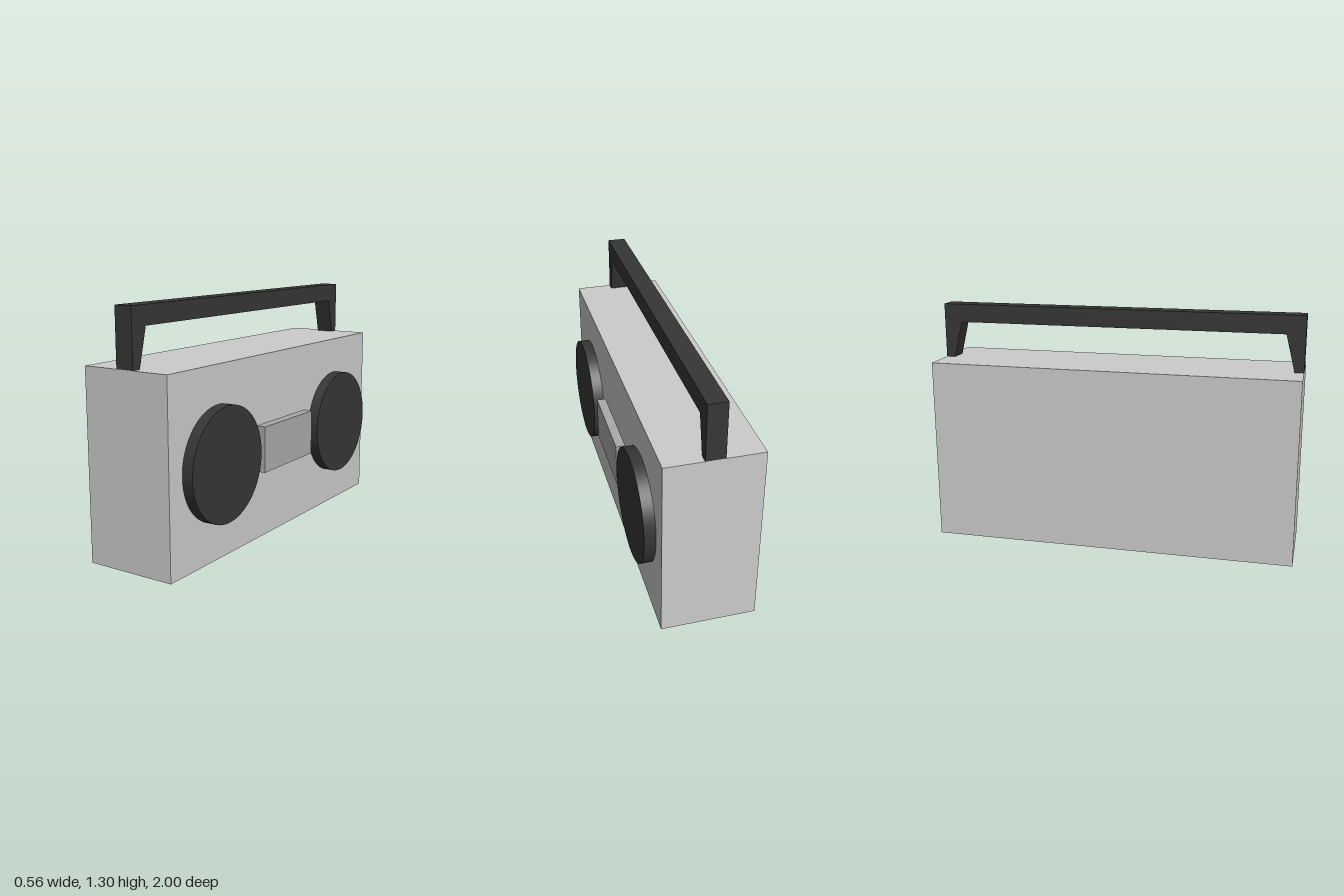
import * as THREE from 'three';

const grey = new THREE.MeshStandardMaterial({ color: 0xcccccc });
const midGrey = new THREE.MeshStandardMaterial({ color: 0xaaaaaa });
const dark = new THREE.MeshStandardMaterial({ color: 0x363636 });

export function createModel() {
  const model = new THREE.Group();
  model.name = 'portableStereo';

  const add = (name, geometry, material, x, y, z) => {
    const mesh = new THREE.Mesh(geometry, material);
    mesh.name = name;
    mesh.position.set(x, y, z);
    model.add(mesh);
  };

  // Cabinet, with the speaker face towards +x
  add('body', new THREE.BoxGeometry(0.5, 1, 2), grey, -0.03, 0.5, 0);

  // Raised cassette door between the speakers
  add('cassetteDoor', new THREE.BoxGeometry(0.05, 0.25, 0.5), midGrey, 0.245, 0.5, 0);

  // Pair of round speakers
  const speaker = new THREE.CylinderGeometry(0.3, 0.3, 0.06, 64).rotateZ(-Math.PI / 2);
  add('speakerLeft', speaker, dark, 0.25, 0.5, -0.6);
  add('speakerRight', speaker, dark, 0.25, 0.5, 0.6);

  // Carrying handle: a flat bridge with tapered legs, extruded across x
  const outline = [
    [-1, 0], [-0.95, 0], [-0.9, 0.2], [0.9, 0.2],
    [0.95, 0], [1, 0], [1, 0.3], [-1, 0.3],
  ].map(([a, b]) => new THREE.Vector2(a, b));
  const handle = new THREE.ExtrudeGeometry(new THREE.Shape(outline), { depth: 0.1, bevelEnabled: false });
  handle.rotateY(Math.PI / 2);
  add('handle', handle, dark, -0.08, 1, 0);

  return model;
}
